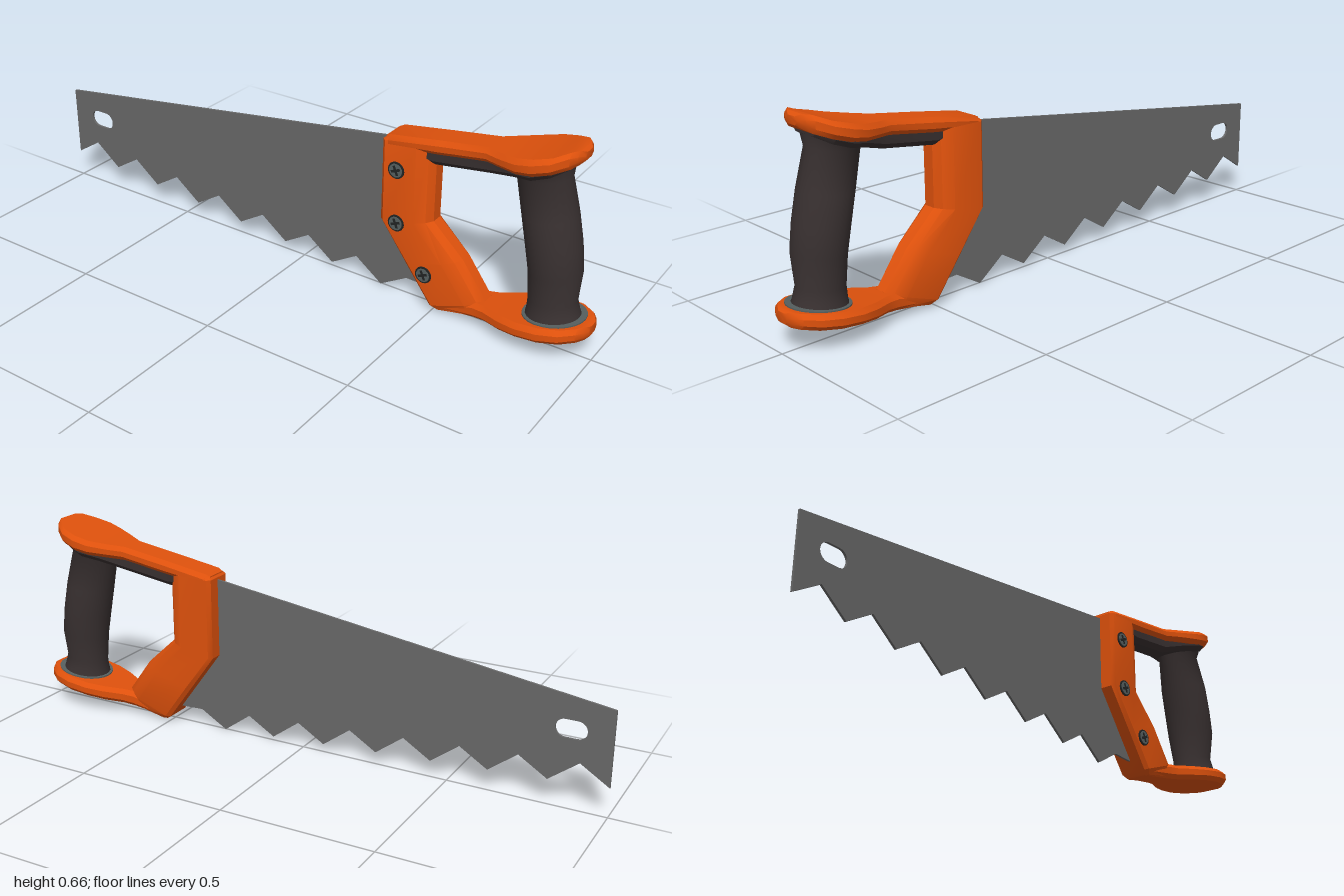
import * as THREE from 'three';
import { toCreasedNormals } from 'three/addons/utils/BufferGeometryUtils.js';

const material = (name, color) => {
  const m = new THREE.MeshStandardMaterial({ color });
  m.name = name;
  return m;
};

// Skin a list of closed rings (arrays of [x, y, z]) and cap both ends
function loft(rings, crease = 0.6) {
  const n = rings[0].length;
  const tris = [];
  for (let i = 0; i < rings.length - 1; i++) {
    for (let j = 0; j < n; j++) {
      const k = (j + 1) % n;
      const a = rings[i][j], b = rings[i][k], c = rings[i + 1][k], d = rings[i + 1][j];
      tris.push([a, b, c], [a, c, d]);
    }
  }
  const first = rings[0], last = rings[rings.length - 1];
  for (let j = 1; j < n - 1; j++) {
    tris.push([first[0], first[j + 1], first[j]], [last[0], last[j], last[j + 1]]);
  }
  // The signed volume tells whether the faces point outwards
  let volume = 0;
  for (const [a, b, c] of tris) {
    volume += new THREE.Vector3(...a).dot(new THREE.Vector3(...b).cross(new THREE.Vector3(...c)));
  }
  if (volume < 0) tris.forEach((t) => t.reverse());
  const g = new THREE.BufferGeometry();
  g.setAttribute('position', new THREE.Float32BufferAttribute(tris.flat(2), 3));
  return toCreasedNormals(g, crease);
}

// Bar along x with chamfered section; each station is [x, halfWidth, top, bottom]
function bar(stations, chamfer) {
  return loft(stations.map(([x, w, t, b]) => {
    const c = Math.min(chamfer, (t - b) * 0.4, w * 0.4);
    return [
      [x, t, w - c], [x, t - c, w], [x, b + c, w], [x, b, w - c],
      [x, b, c - w], [x, b + c, -w], [x, t - c, -w], [x, t, c - w],
    ];
  }));
}

// Elliptical ring, sheared to follow the slope of the handle plates
function ellipse(y, xc, rx, rz, slope = 0.14, n = 24) {
  return Array.from({ length: n }, (_, i) => {
    const a = (i / n) * Math.PI * 2;
    return [xc + rx * Math.cos(a), y + slope * rx * Math.cos(a), rz * Math.sin(a)];
  });
}

export function createModel() {
  const orange = material('orange plastic', 0xde510c);
  const rubber = material('dark rubber', 0x383030);
  const steel = material('blade steel', 0x686868);
  const screwMetal = material('screw metal', 0x566060);
  const slotBlack = material('screw slot', 0x222424);

  const model = new THREE.Group();
  model.name = 'handSaw';
  const add = (name, geometry, mat, parent = model) => {
    const mesh = new THREE.Mesh(geometry, mat);
    mesh.name = name;
    parent.add(mesh);
    return mesh;
  };

  // Blade with eight teeth and a hanging slot
  const outline = new THREE.Shape();
  outline.moveTo(-1, 0.34);
  for (let i = 0; i < 8; i++) {
    outline.lineTo(-1 + i * 0.185, 0.1 - i * 0.0136);
    outline.lineTo(-0.908 + i * 0.185, 0.158 - i * 0.0142);
  }
  outline.lineTo(0.48, 0.055);
  outline.lineTo(0.4, 0.25);
  outline.lineTo(0.4, 0.537);
  const slot = new THREE.Path();
  slot.absarc(-0.894, 0.257, 0.029, Math.PI / 2, Math.PI * 1.5, false);
  slot.absarc(-0.856, 0.257, 0.029, -Math.PI / 2, Math.PI / 2, false);
  outline.holes.push(slot);
  const blade = new THREE.ExtrudeGeometry(outline, { depth: 0.008, bevelEnabled: false, curveSegments: 10 });
  blade.translate(0, 0, -0.004);
  add('blade', blade, steel);

  // Front of the handle: [outer x, outer y, inner x, inner y, half width]
  const profile = [[0, 0.8], [0.07, 1], [0.7, 1], [0.9, 0.72], [1, 0.35]];
  const frontRings = [
    [0.51, 0.012, 0.67, 0.045, 0.042],
    [0.492, 0.024, 0.667, 0.088, 0.054],
    [0.405, 0.142, 0.585, 0.2, 0.055],
    [0.313, 0.267, 0.48, 0.297, 0.055],
    [0.313, 0.533, 0.48, 0.535, 0.055],
    [0.33, 0.548, 0.48, 0.565, 0.042],
  ].map(([ox, oy, ix, iy, w]) => {
    const at = (side) => ([t, s]) => [ox + (ix - ox) * t, oy + (iy - oy) * t, side * w * s];
    return [...profile.map(at(1)), ...profile.map(at(-1)).reverse()];
  });
  add('handleFront', loft(frontRings, 0.5), orange);

  // Upper and lower arms, each widening into a rounded guard
  add('upperArm', bar([
    [0.32, 0.048, 0.543, 0.51], [0.335, 0.055, 0.55, 0.51], [0.5, 0.055, 0.576, 0.53],
    [0.65, 0.056, 0.598, 0.553], [0.7, 0.08, 0.605, 0.56], [0.76, 0.104, 0.615, 0.567],
    [0.81, 0.111, 0.628, 0.577], [0.86, 0.1, 0.642, 0.592], [0.9, 0.07, 0.659, 0.608],
    [0.915, 0.05, 0.66, 0.618], [0.926, 0.025, 0.652, 0.628],
  ], 0.014), orange);
  add('lowerArm', bar([
    [0.51, 0.045, 0.05, 0.012], [0.64, 0.052, 0.085, 0.033], [0.68, 0.06, 0.089, 0.039],
    [0.74, 0.088, 0.097, 0.048], [0.8, 0.106, 0.105, 0.058], [0.87, 0.111, 0.116, 0.068],
    [0.93, 0.097, 0.124, 0.077], [0.97, 0.067, 0.129, 0.083], [0.985, 0.045, 0.13, 0.086],
    [0.994, 0.025, 0.125, 0.094],
  ], 0.014), orange);

  // Rubber padding below the upper arm
  add('upperPadding', bar([
    [0.425, 0.042, 0.53, 0.495], [0.48, 0.042, 0.55, 0.488], [0.66, 0.043, 0.57, 0.514],
    [0.74, 0.075, 0.59, 0.54], [0.8, 0.097, 0.6, 0.555], [0.85, 0.085, 0.61, 0.573],
    [0.89, 0.05, 0.62, 0.596],
  ], 0.016), rubber);

  // Rubber grip, swelling at the middle and flared at both ends
  add('grip', loft([
    ellipse(0.105, 0.872, 0.085, 0.078), ellipse(0.13, 0.87, 0.077, 0.071),
    ellipse(0.165, 0.866, 0.072, 0.063), ellipse(0.26, 0.866, 0.077, 0.079),
    ellipse(0.34, 0.853, 0.08, 0.08), ellipse(0.43, 0.834, 0.08, 0.079),
    ellipse(0.545, 0.806, 0.08, 0.064), ellipse(0.585, 0.8, 0.088, 0.09),
  ], 0.9), rubber);
  add('gripBaseRing', loft([
    ellipse(0.108, 0.876, 0.094, 0.086), ellipse(0.12, 0.876, 0.094, 0.086),
  ]), screwMetal);

  // Three cross-head screws on the front face
  [[0.367, 0.448], [0.373, 0.273], [0.474, 0.128]].forEach(([x, y], i) => {
    const screw = new THREE.Group();
    screw.name = `screw${i + 1}`;
    screw.position.set(x, y, 0.056);
    add('screwRim', new THREE.CylinderGeometry(0.027, 0.027, 0.006, 16).rotateX(Math.PI / 2), slotBlack, screw);
    add('screwHead', new THREE.CylinderGeometry(0.022, 0.022, 0.009, 16).rotateX(Math.PI / 2), screwMetal, screw);
    for (const turn of [0.4, 0.4 + Math.PI / 2]) {
      const cut = add('screwSlot', new THREE.BoxGeometry(0.032, 0.008, 0.003), slotBlack, screw);
      cut.position.z = 0.004;
      cut.rotation.z = turn;
    }
    model.add(screw);
  });

  return model;
}
